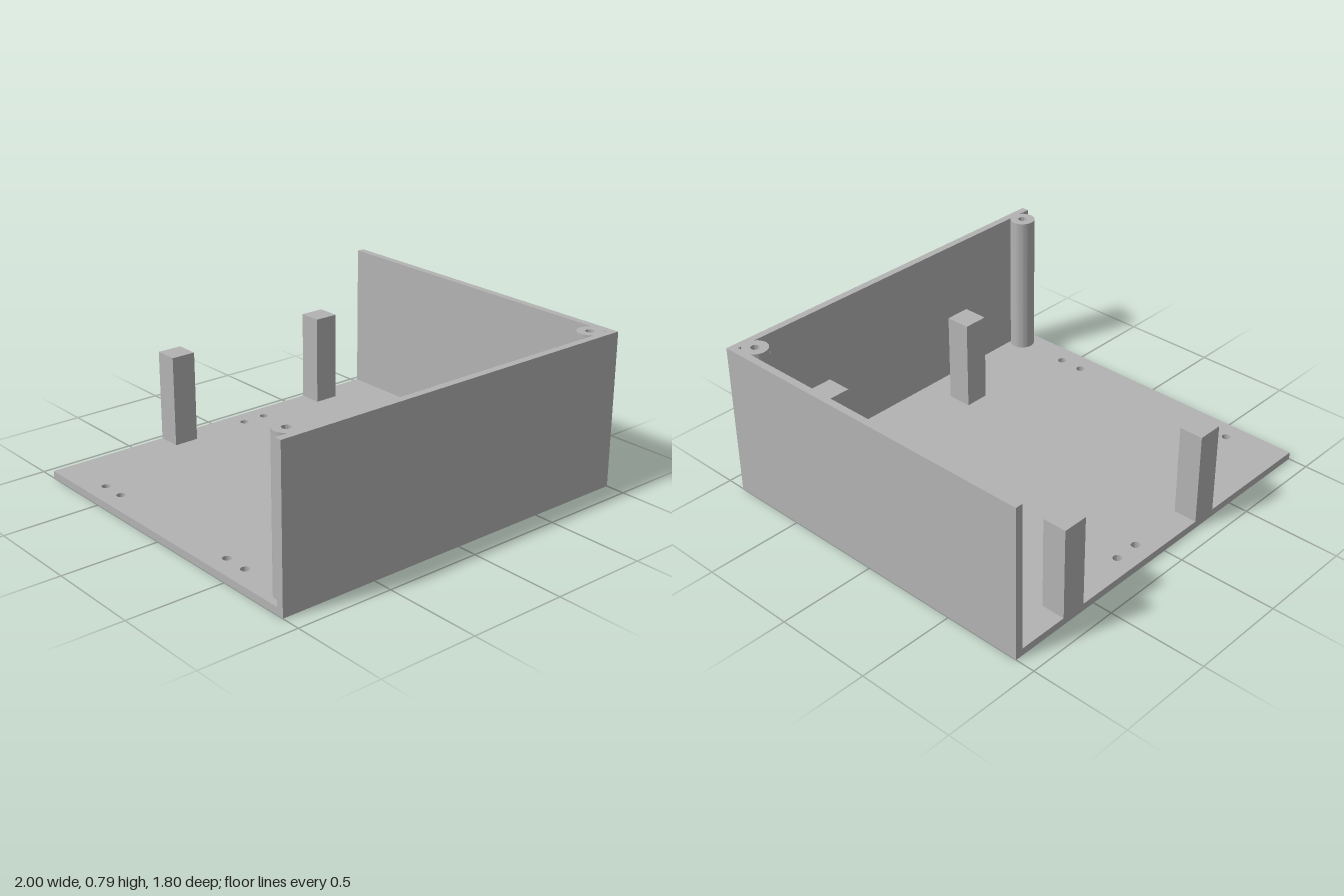
import * as THREE from 'three';
import { toCreasedNormals } from 'three/addons/utils/BufferGeometryUtils.js';

const H = 0.79, T = 0.038, W = 2, D = 1.8;

export function createModel() {
  const model = new THREE.Group();
  model.name = 'enclosureHalf';
  const grey = new THREE.MeshStandardMaterial({ color: 0xb3b3b3 });
  grey.name = 'grey plastic';

  const add = (name, geometry, x = 0, y = 0, z = 0) => {
    const mesh = new THREE.Mesh(geometry, grey);
    mesh.name = name;
    mesh.position.set(x, y, z);
    model.add(mesh);
    return mesh;
  };

  // Extrude a plan shape (x, -z) upwards
  const raise = (shape, height) => {
    const g = new THREE.ExtrudeGeometry(shape, { depth: height, bevelEnabled: false, curveSegments: 24 });
    g.rotateX(-Math.PI / 2);
    return toCreasedNormals(g, 0.6);
  };
  const hole = (x, z, r) => new THREE.Path().absarc(x, -z, r, 0, Math.PI * 2, true);

  // Floor with three pairs of through holes
  const plan = new THREE.Shape([[-1, -0.9], [1, -0.9], [1, 0.9], [-1, 0.9]].map(([x, y]) => new THREE.Vector2(x, y)));
  for (const [x, z] of [[-0.9, -0.585], [-0.9, -0.455], [-0.9, 0.385], [-0.9, 0.515], [0.095, -0.805], [0.225, -0.805]]) {
    plan.holes.push(hole(x, z, 0.022));
  }
  add('floor', raise(plan, T));

  // Front and left walls, standing on the floor
  const wallH = H - T;
  add('frontWall', new THREE.BoxGeometry(W, wallH, T), 0, T + wallH / 2, D / 2 - T / 2);
  add('leftWall', new THREE.BoxGeometry(T, wallH, D - T), W / 2 - T / 2, T + wallH / 2, -T / 2);

  // Square support posts
  const postH = 0.47;
  for (const x of [-0.295, 0.635]) {
    add('backPost', new THREE.BoxGeometry(0.13, postH, 0.122), x, T + postH / 2, -0.839);
    add('frontPost', new THREE.BoxGeometry(0.13, postH, 0.13), x, T + postH / 2, 0.64);
  }

  // Round screw bosses with blind holes
  const ring = new THREE.Shape().absarc(0, 0, 0.064, 0, Math.PI * 2, false);
  ring.holes.push(hole(0, 0, 0.022));
  for (const x of [-0.9, 0.906]) add('screwBoss', raise(ring, wallH), x, T, 0.81);

  // Small round face on the side of the left boss
  add('bossPin', new THREE.CylinderGeometry(0.018, 0.018, 0.009, 20).rotateZ(Math.PI / 2), 0.845, 0.735, 0.8);

  return model;
}
